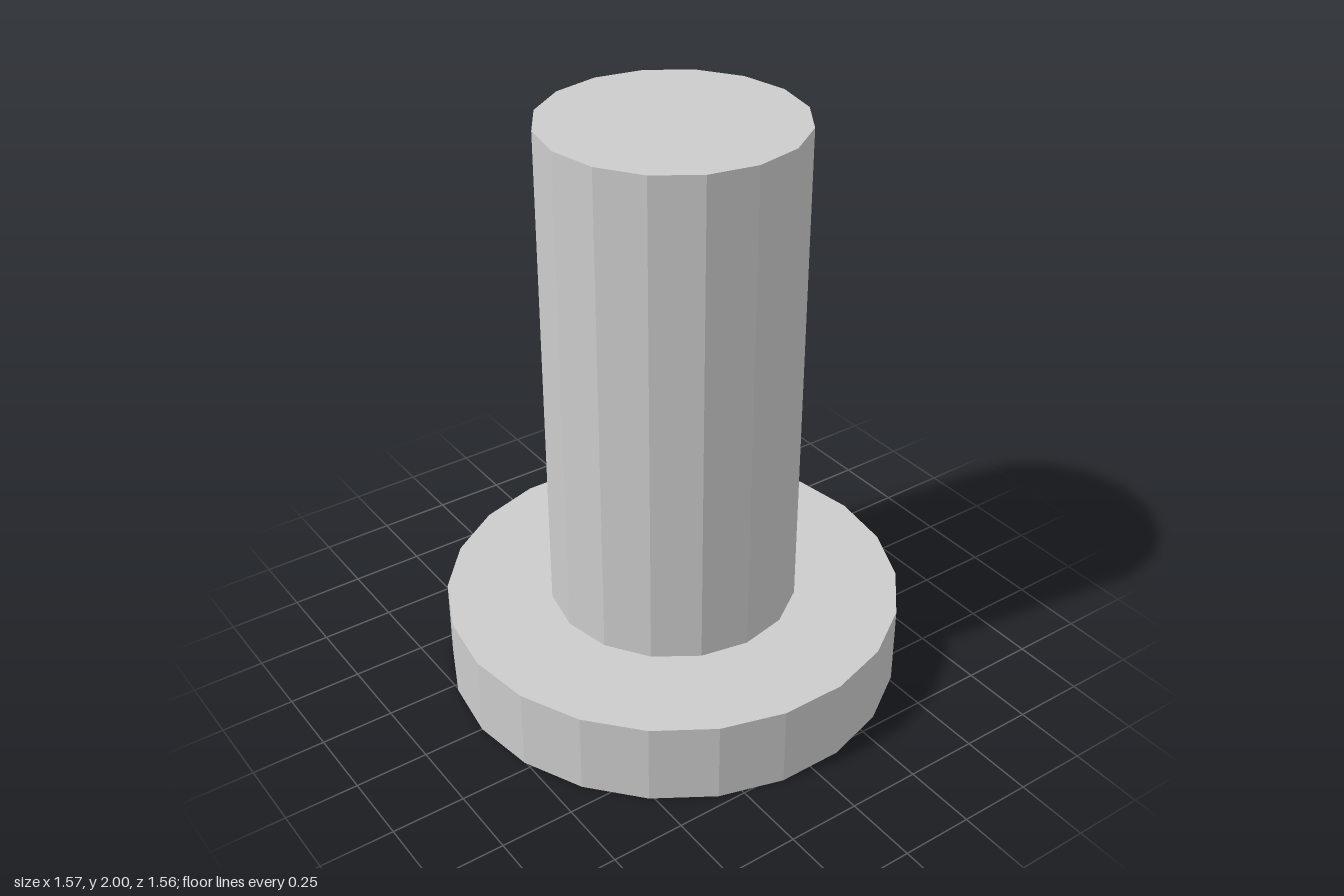
import * as THREE from 'three';

const HEAD_R = 0.786, HEAD_H = 0.285, SHAFT_R = 0.427, TOP = 2;
const ARM = 0.374, HALF_W = 0.083, DEPTH = 0.15; // cross recess

const material = new THREE.MeshStandardMaterial({ color: 0xcccccc, flatShading: true });

function addMesh(parent, name, geometry) {
  const mesh = new THREE.Mesh(geometry, material);
  mesh.name = name;
  parent.add(mesh);
  return mesh;
}

// Faceted body with a side wall and a flat top; the first corner lies on +x
function openPrism(radius, y0, y1, sides) {
  const profile = [[radius, y0], [radius, y1], [0, y1]].map(p => new THREE.Vector2(...p));
  return new THREE.LatheGeometry(profile, sides, Math.PI / 2);
}

// Corners of the cross, three per quarter turn
function crossPoints() {
  const points = [];
  for (let i = 0; i < 4; i++) {
    for (const [x, y] of [[ARM, -HALF_W], [ARM, HALF_W], [HALF_W, HALF_W]]) {
      points.push(new THREE.Vector2(x, y).rotateAround(new THREE.Vector2(), i * Math.PI / 2));
    }
  }
  return points;
}

// Inward-facing walls, one quad per side of the cross
function recessWalls(points) {
  const positions = [];
  points.forEach((p, i) => {
    const q = points[(i + 1) % points.length];
    positions.push(p.x, 0, p.y, q.x, 0, q.y, q.x, DEPTH, q.y);
    positions.push(p.x, 0, p.y, q.x, DEPTH, q.y, p.x, DEPTH, p.y);
  });
  const geometry = new THREE.BufferGeometry();
  geometry.setAttribute('position', new THREE.Float32BufferAttribute(positions, 3));
  geometry.computeVertexNormals();
  return geometry;
}

// Flat shape turned to face down
const facingDown = shape => new THREE.ShapeGeometry(shape).rotateX(Math.PI / 2);

export function createModel() {
  const model = new THREE.Group();
  model.name = 'screw';

  addMesh(model, 'shaft', openPrism(SHAFT_R, HEAD_H, TOP, 16));

  // Head, with its underside cut out for the recess
  const head = new THREE.Group();
  head.name = 'head';
  model.add(head);
  addMesh(head, 'headBody', openPrism(HEAD_R, 0, HEAD_H, 22));

  const cross = crossPoints();
  const rim = Array.from({ length: 22 }, (_, i) => {
    const a = i / 22 * Math.PI * 2;
    return new THREE.Vector2(HEAD_R * Math.cos(a), HEAD_R * Math.sin(a));
  });
  const underside = new THREE.Shape(rim);
  underside.holes.push(new THREE.Path(cross));
  addMesh(head, 'headUnderside', facingDown(underside));

  // Cross-shaped driver recess
  addMesh(head, 'recessWalls', recessWalls(cross));
  addMesh(head, 'recessFloor', facingDown(new THREE.Shape(cross))).position.y = DEPTH;

  return model;
}
